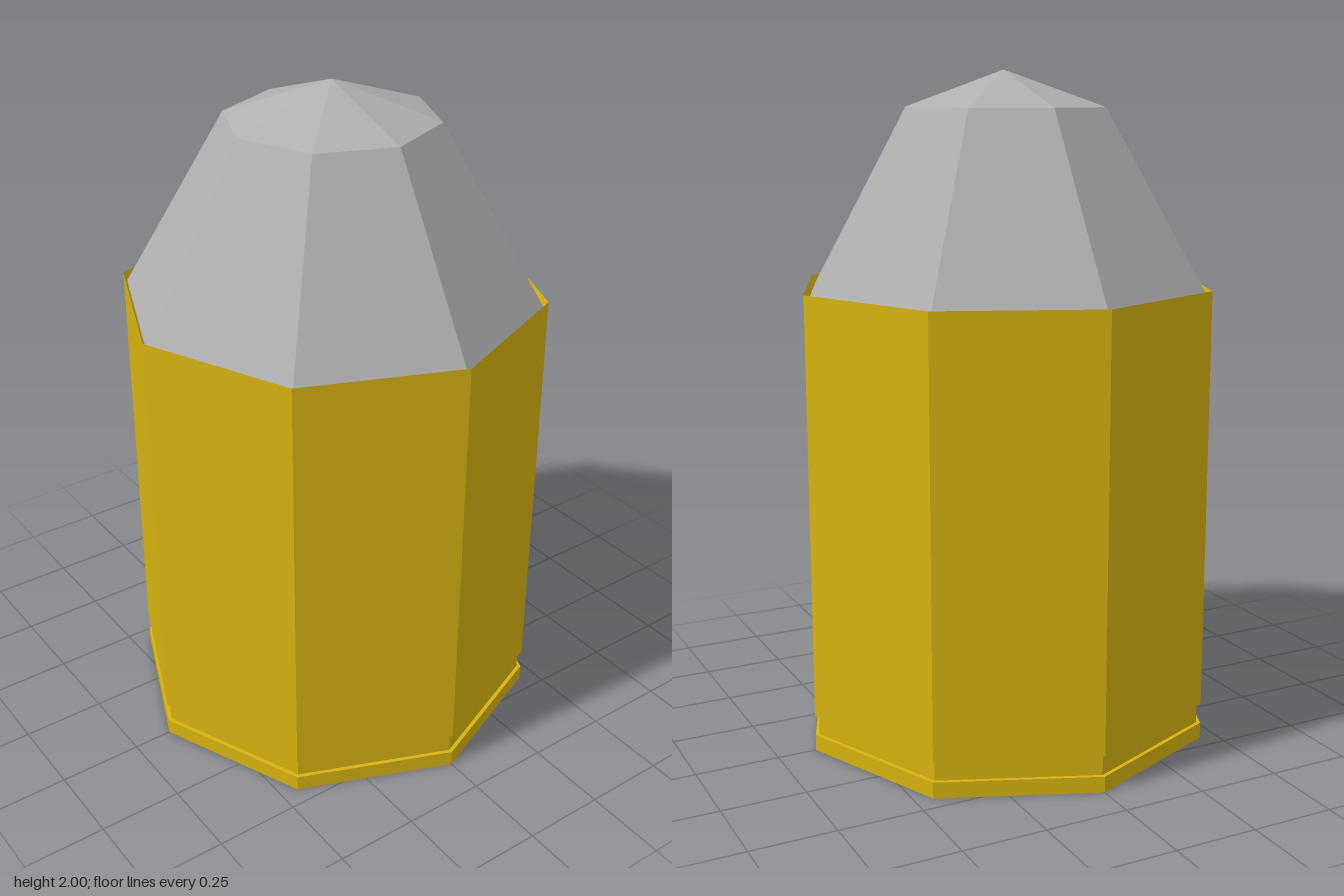
import * as THREE from 'three';

const SIDES = 8;
const brass = new THREE.MeshStandardMaterial({ color: 0xd6b210 });
brass.name = 'brass';
const lead = new THREE.MeshStandardMaterial({ color: 0xb0b0b0 });
lead.name = 'lead grey';

// Eight-sided faceted turning of a [radius, height] profile, listed bottom to top
function turned(name, profile, material) {
  const points = profile.map(([r, y]) => new THREE.Vector2(r, y));
  const geometry = new THREE.LatheGeometry(points, SIDES).toNonIndexed();
  geometry.computeVertexNormals();
  const mesh = new THREE.Mesh(geometry, material);
  mesh.name = name;
  return mesh;
}

export function createModel() {
  const group = new THREE.Group();
  group.name = 'cartridge';

  // Closed base, rim, extractor groove, straight wall and inward-sloping mouth
  group.add(turned('case', [
    [0, 0], [0.632, 0], [0.632, 0.048],
    [0.619, 0.048], [0.619, 0.11],
    [0.632, 0.11], [0.632, 1.375], [0.618, 1.33],
  ], brass));

  // Tapered slug seated just inside the mouth, with a shallow pointed tip
  group.add(turned('slug', [
    [0.621, 1.33], [0.621, 1.353], [0.31, 1.893], [0, 2],
  ], lead));

  return group;
}
